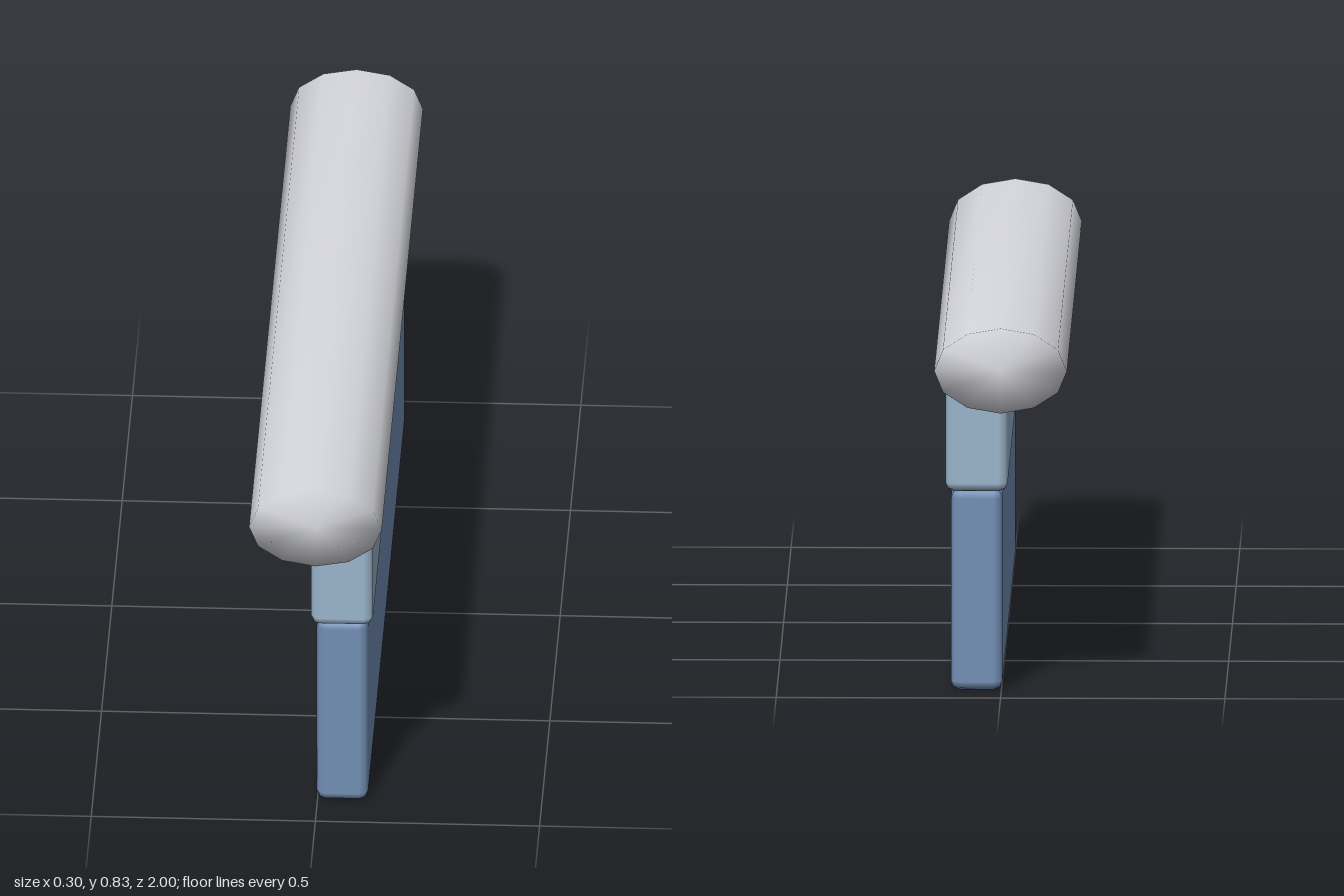
import * as THREE from 'three';
import { mergeVertices } from 'three/addons/utils/BufferGeometryUtils.js';
import { RoundedBoxGeometry } from 'three/addons/geometries/RoundedBoxGeometry.js';

function material(name, color) {
  const m = new THREE.MeshStandardMaterial({ color });
  m.name = name;
  return m;
}

export function createModel() {
  const group = new THREE.Group();
  group.name = 'railedWall';

  const add = (name, geometry, mat, x, y) => {
    const mesh = new THREE.Mesh(geometry, mat);
    mesh.name = name;
    mesh.position.set(x, y, 0);
    group.add(mesh);
  };

  // Wall: two softly bevelled slabs, the upper one slightly larger
  const slab = (name, mat, width, y0, y1, depth) =>
    add(name, new RoundedBoxGeometry(width, y1 - y0, depth, 1, 0.02), mat, 0.055, (y0 + y1) / 2);
  slab('lowerWall', material('slate blue', 0x738fb5), 0.115, 0, 0.453, 1.81);
  slab('upperWall', material('pale blue', 0x9ab5cc), 0.139, 0.452, 0.69, 1.854);

  // Rail: twelve-sided oval bar, with caps welded to the side so shading runs over the ends
  let rail = new THREE.CylinderGeometry(1, 1, 2, 12, 1);
  rail.rotateX(Math.PI / 2);
  rail.scale(0.148, 0.096, 1);
  rail.deleteAttribute('normal');
  rail.deleteAttribute('uv');
  rail = mergeVertices(rail, 1e-4);
  rail.computeVertexNormals();
  add('topRail', rail, material('light grey', 0xd9dae0), 0, 0.739);

  return group;
}
